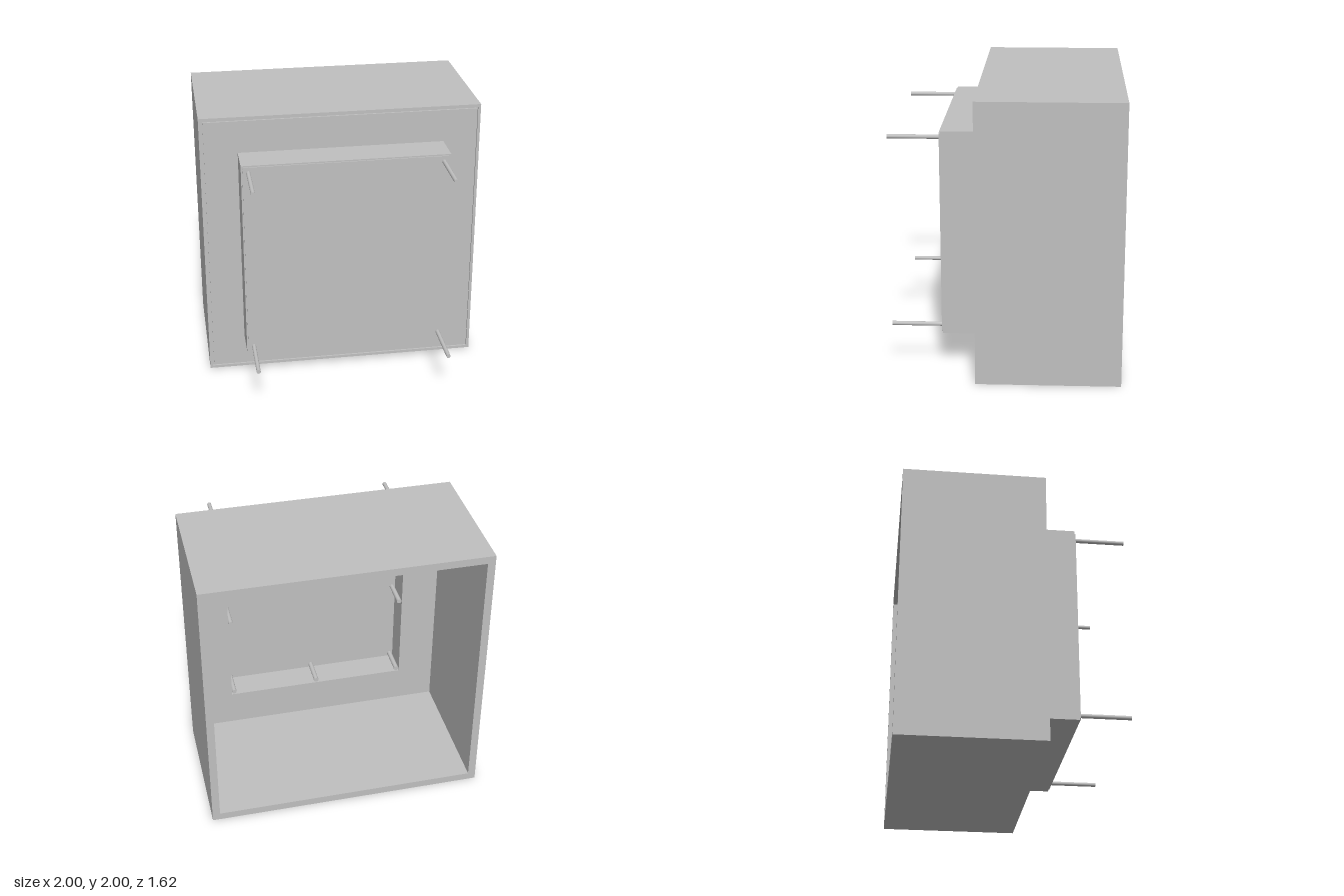
import * as THREE from 'three';

const CY = 1; // height of the centre axis

// Square outline, optionally with rounded corners
function square(half, r = 0, Type = THREE.Shape) {
  const s = new Type();
  if (!r) {
    s.moveTo(-half, -half).lineTo(half, -half).lineTo(half, half).lineTo(-half, half);
    s.closePath();
    return s;
  }
  const q = half - r;
  s.absarc(q, q, r, 0, Math.PI / 2);
  s.absarc(-q, q, r, Math.PI / 2, Math.PI);
  s.absarc(-q, -q, r, Math.PI, Math.PI * 1.5);
  s.absarc(q, -q, r, Math.PI * 1.5, Math.PI * 2);
  s.closePath();
  return s;
}

export function createModel() {
  const group = new THREE.Group();
  const grey = new THREE.MeshStandardMaterial({ color: 0xc0c0c0 });
  grey.name = 'light grey';

  const add = (name, geometry) => {
    const mesh = new THREE.Mesh(geometry, grey);
    mesh.name = name;
    group.add(mesh);
    return mesh;
  };

  // Square slab or frame running from z0 to z1
  const slab = (name, outer, inner, z0, z1, r = 0) => {
    const shape = square(outer, r);
    if (inner) shape.holes.push(square(inner, 0, THREE.Path));
    const geo = new THREE.ExtrudeGeometry(shape, { depth: z1 - z0, bevelEnabled: false, curveSegments: 4 });
    add(name, geo).position.set(0, CY, z0);
  };

  // Rod along z
  const rod = (name, x, y, z0, z1, r) => {
    const geo = new THREE.CylinderGeometry(r, r, z1 - z0, 16).rotateX(Math.PI / 2);
    add(name, geo).position.set(x, CY + y, (z0 + z1) / 2);
  };

  // Open-backed housing with a thin rim and a grooved front panel
  slab('housingWalls', 1, 0.945, -0.81, 0.187);
  slab('frontRim', 1, 0.98, 0.187, 0.2);
  slab('frontPanel', 0.97, 0.675, 0.187, 0.2);

  // Raised hollow neck and its cover
  slab('neckWalls', 0.735, 0.68, 0.2, 0.445);
  slab('neckBackPlate', 0.68, 0, 0.4, 0.445);
  slab('coverPlate', 0.725, 0, 0.445, 0.453, 0.012);

  for (const sx of [-1, 1]) {
    for (const sy of [-1, 1]) {
      rod('frontPost', sx * 0.685, sy * 0.685, 0.45, 0.81, 0.015);
      rod('cornerStud', sx * 0.655, sy * 0.655, 0.19, 0.4, 0.018);
    }
    rod('sideStud', sx * 0.655, 0, 0.19, 0.4, 0.018);
    rod('edgeStud', 0, sx * 0.655, 0.19, 0.4, 0.018);
  }
  return group;
}
